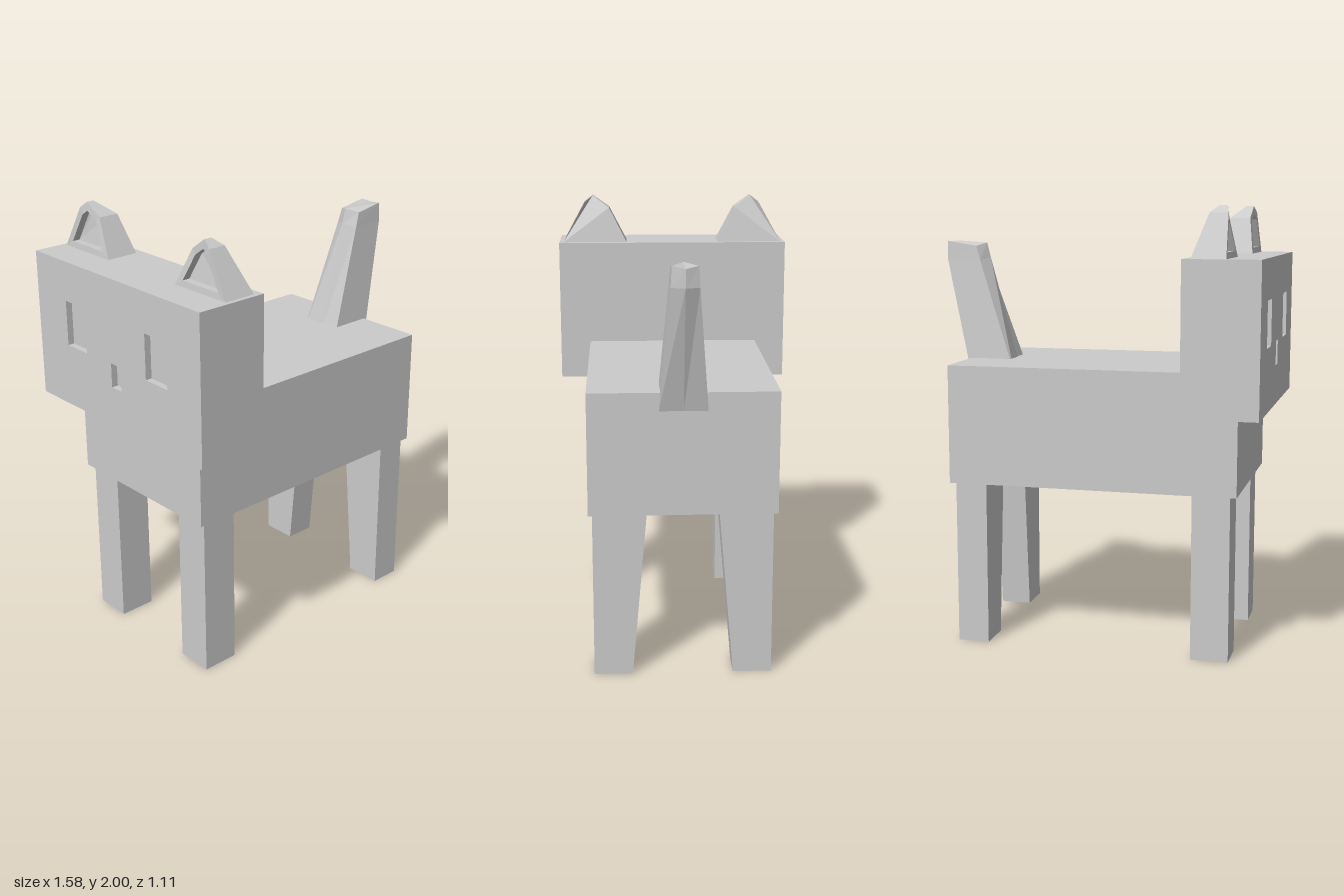
import * as THREE from 'three';

const material = new THREE.MeshStandardMaterial({ color: 0xcccccc, flatShading: true });

function add(parent, name, geometry) {
  const mesh = new THREE.Mesh(geometry, material);
  mesh.name = name;
  parent.add(mesh);
  return mesh;
}

// Box given by its lower and upper corners
function box(x0, x1, y0, y1, z0, z1) {
  return new THREE.BoxGeometry(x1 - x0, y1 - y0, z1 - z0)
    .translate((x0 + x1) / 2, (y0 + y1) / 2, (z0 + z1) / 2);
}

// Closed faceted solid through rings of equal point count, always facing outward
function loft(rings) {
  const n = rings[0].length;
  const tris = [];
  for (let r = 0; r < rings.length - 1; r++) {
    for (let i = 0; i < n; i++) {
      const j = (i + 1) % n;
      const a = rings[r][i], b = rings[r][j], c = rings[r + 1][j], d = rings[r + 1][i];
      tris.push([a, b, c], [a, c, d]);
    }
  }
  const first = rings[0], last = rings[rings.length - 1];
  for (let i = 1; i < n - 1; i++) {
    tris.push([first[0], first[i + 1], first[i]], [last[0], last[i], last[i + 1]]);
  }
  const volume = tris.reduce((sum, [a, b, c]) => sum + a.dot(b.clone().cross(c)), 0);
  const points = tris.flatMap(([a, b, c]) => (volume < 0 ? [a, c, b] : [a, b, c]));
  const geometry = new THREE.BufferGeometry().setFromPoints(points);
  geometry.computeVertexNormals();
  return geometry;
}

const v = (x, y, z) => new THREE.Vector3(x, y, z);

// Head block with a front plate holding the eye and nose recesses
function buildHead() {
  const head = new THREE.Group();
  head.name = 'head';
  const depth = 0.03;
  add(head, 'skull', box(-0.79 + depth, -0.455, 1.11, 1.78, -0.555, 0.555));

  const rect = (type, x0, x1, y0, y1) =>
    new type([[x0, y0], [x1, y0], [x1, y1], [x0, y1]].map((p) => new THREE.Vector2(...p)));
  const plate = rect(THREE.Shape, -0.555, 0.555, 1.11, 1.78);
  plate.holes.push(
    rect(THREE.Path, -0.345, -0.205, 1.395, 1.6),
    rect(THREE.Path, 0.205, 0.345, 1.395, 1.6),
    rect(THREE.Path, -0.033, 0.033, 1.29, 1.4),
  );
  const face = new THREE.ExtrudeGeometry(plate, { depth, bevelEnabled: false });
  face.rotateY(-Math.PI / 2).translate(-0.79 + depth, 0, 0);
  add(head, 'face', face);
  return head;
}

// Ear: outline narrows toward the tip, with a hollow cut into its front
function buildEar(side) {
  // z, y, front x, back x
  const outline = [
    [0.535, 1.78, -0.64, -0.49],
    [0.43, 1.97, -0.63, -0.55],
    [0.39, 2.0, -0.62, -0.585],
    [0.31, 1.945, -0.615, -0.52],
    [0.225, 1.78, -0.64, -0.49],
  ];
  const back = outline.map(([z, y, , x]) => v(x, y, z * side));
  const front = outline.map(([z, y, x]) => v(x, y, z * side));
  const centre = v(-0.63, 1.87, 0.38 * side);
  const rim = front.map((p) => p.clone().lerp(centre, 0.3));
  const floor = rim.map((p) => p.clone().add(v(0.035, 0, 0)));
  return loft([back, front, rim, floor]);
}

// Tail section: ridge point, two side corners each way, and a rear point
function tailRing([ridgeX, ridgeY], [frontX, frontY], [rearX, rearY], [endX, endY], half) {
  return [
    v(ridgeX, ridgeY, 0), v(frontX, frontY, half), v(rearX, rearY, half),
    v(endX, endY, 0), v(rearX, rearY, -half), v(frontX, frontY, -half),
  ];
}

export function createModel() {
  const model = new THREE.Group();
  model.name = 'blockyCat';

  add(model, 'body', box(-0.68, 0.64, 0.75, 1.29, -0.41, 0.41));
  model.add(buildHead());

  for (const side of [1, -1]) {
    const label = side > 0 ? 'Left' : 'Right';
    add(model, 'ear' + label, buildEar(side));

    // Straight front legs
    const z = 0.308 * side;
    add(model, 'frontLeg' + label, box(-0.65, -0.48, 0, 0.75, z - 0.085, z + 0.085));

    // Back legs widen inward toward the top
    const leg = box(0.47, 0.615, 0, 0.75, z - 0.085, z + 0.085);
    const pos = leg.attributes.position;
    for (let i = 0; i < pos.count; i++) {
      const inner = Math.abs(pos.getZ(i)) < 0.308;
      if (pos.getY(i) > 0.4 && inner) pos.setZ(i, 0.157 * side);
    }
    leg.computeVertexNormals();
    add(model, 'backLeg' + label, leg);
  }

  // Upright tail leaning backward
  add(model, 'tail', loft([
    tailRing([0.424, 1.21], [0.424, 1.21], [0.64, 1.21], [0.64, 1.21], 0.105),
    tailRing([0.572, 1.76], [0.605, 1.75], [0.765, 1.75], [0.785, 1.75], 0.06),
    tailRing([0.59, 1.83], [0.625, 1.815], [0.765, 1.838], [0.785, 1.828], 0.055),
  ]));

  return model;
}
